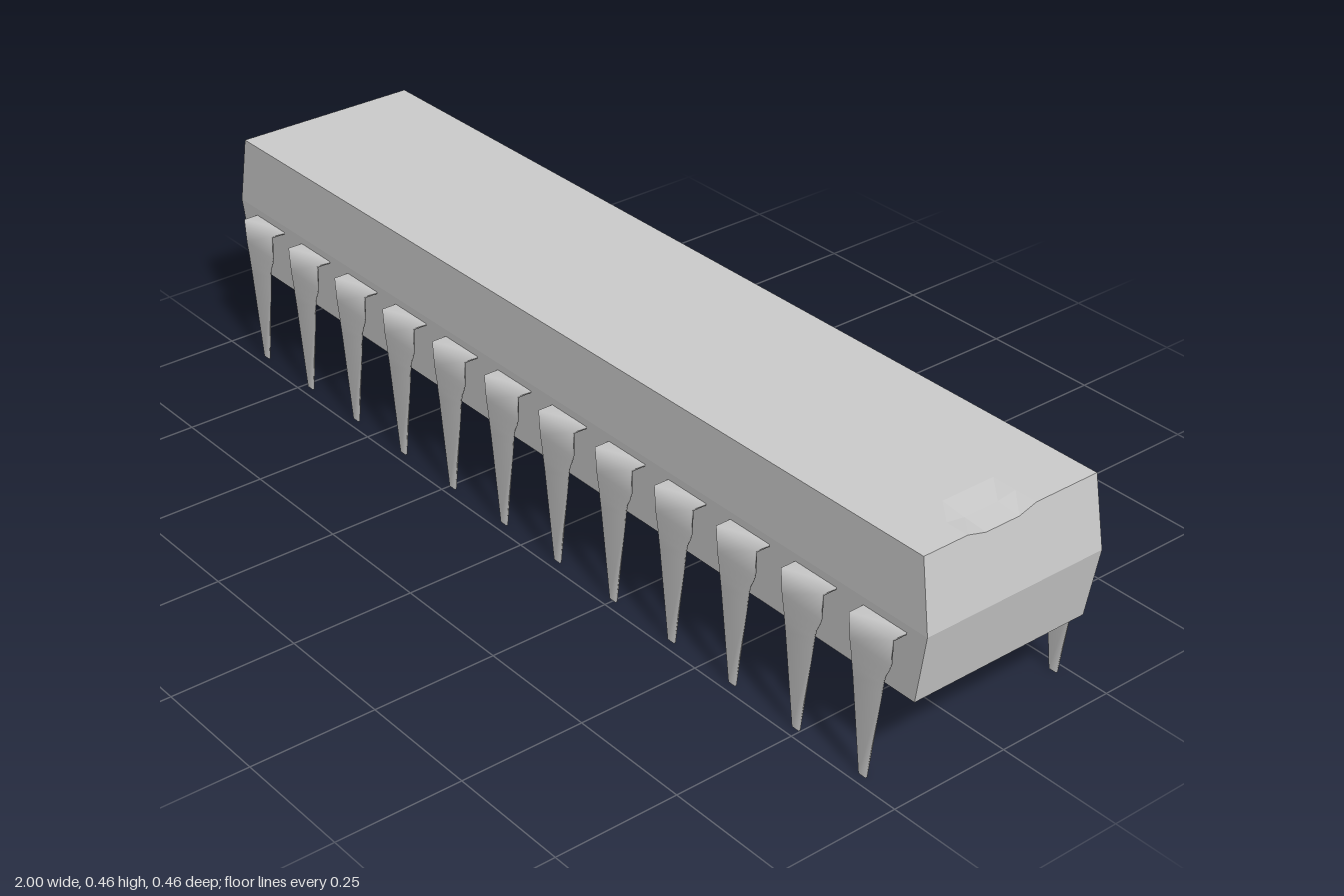
import * as THREE from 'three';

// Closed solid through cross-section rings (counter-clockwise seen from the end).
function loft(rings) {
  const n = rings[0].length, last = (rings.length - 1) * n, index = [];
  for (let r = 0; r < last; r += n) {
    for (let i = 0; i < n; i++) {
      const j = (i + 1) % n;
      index.push(r + i, r + j, r + n + j, r + i, r + n + j, r + n + i);
    }
  }
  for (let i = 0; i < n - 2; i++) {
    index.push(n - 1, i + 1, i, last + n - 1, last + i, last + i + 1);
  }
  const geometry = new THREE.BufferGeometry();
  geometry.setAttribute('position', new THREE.Float32BufferAttribute(rings.flat(2), 3));
  geometry.setIndex(index);
  geometry.computeVertexNormals();
  return geometry;
}

// Body: waisted block, widest at mid height, with a shallow notch at the +x end.
const BOTTOM = 0.175, MID = 0.315, TOP = 0.455;

function bodyRing(xMid, xEdge, notch) {
  const at = (y, z) => {
    const t = Math.abs(y - MID) / (TOP - MID);
    return [xMid + (xEdge - xMid) * t, y, z];
  };
  return [
    at(BOTTOM, 0.196), at(BOTTOM, -0.196), at(MID, -0.2),
    at(TOP, -0.196), at(TOP, -0.055), at(TOP - notch, -0.015),
    at(TOP - notch, 0.06), at(TOP, 0.1), at(TOP, 0.196),
    at(MID, 0.2),
  ];
}

function createBody() {
  const geometry = loft([
    bodyRing(-1, -0.977, 0),
    bodyRing(0.88, 0.88, 0),
    bodyRing(0.93, 0.93, 0.006),
    bodyRing(1, 0.977, 0.01),
  ]);
  const body = new THREE.Mesh(geometry,
    new THREE.MeshStandardMaterial({ color: 0xcccccc, flatShading: true }));
  body.name = 'body';
  return body;
}

// Pin: thin bent strip, a short shoulder out of the body and a tapered leg.
function createPinGeometry() {
  const zOut = 0.231, zIn = 0.227, yTop = 0.3, yUnder = 0.296;
  const ring = (x0, x1, yIn, zInner, yOut, zOuter) => [
    [x0, yIn, zInner], [x1, yIn, zInner], [x1, yOut, zOuter], [x0, yOut, zOuter],
  ];
  const rings = [
    ring(-0.05, 0.05, yUnder, 0.19, yTop, 0.19),
    ring(-0.05, 0.05, yUnder, zIn, yTop, zOut),
  ];
  // Leg rows: height, left edge, right edge
  const rows = [
    [0.25, -0.046, 0.049], [0.235, -0.043, 0.044], [0.22, -0.04, 0.037],
    [0.205, -0.038, 0.034], [0.18, -0.034, 0.031], [0, -0.01, 0.007],
  ];
  for (const [y, x0, x1] of rows) rings.push(ring(x0, x1, y, zIn, y, zOut));
  return loft(rings);
}

// One row of pins along the front side.
function createPinRow(name) {
  const row = new THREE.Group();
  row.name = name;
  const geometry = createPinGeometry();
  const material = new THREE.MeshStandardMaterial({ color: 0xcccccc });
  const count = 12, pitch = 1.798 / (count - 1);
  for (let i = 0; i < count; i++) {
    const pin = new THREE.Mesh(geometry, material);
    pin.name = `pin${i + 1}`;
    pin.position.x = -0.894 + i * pitch;
    row.add(pin);
  }
  return row;
}

export function createModel() {
  const model = new THREE.Group();
  model.name = 'integratedCircuit';
  const frontPins = createPinRow('frontPins');
  const backPins = createPinRow('backPins');
  backPins.rotation.y = Math.PI;
  model.add(createBody(), frontPins, backPins);
  return model;
}
